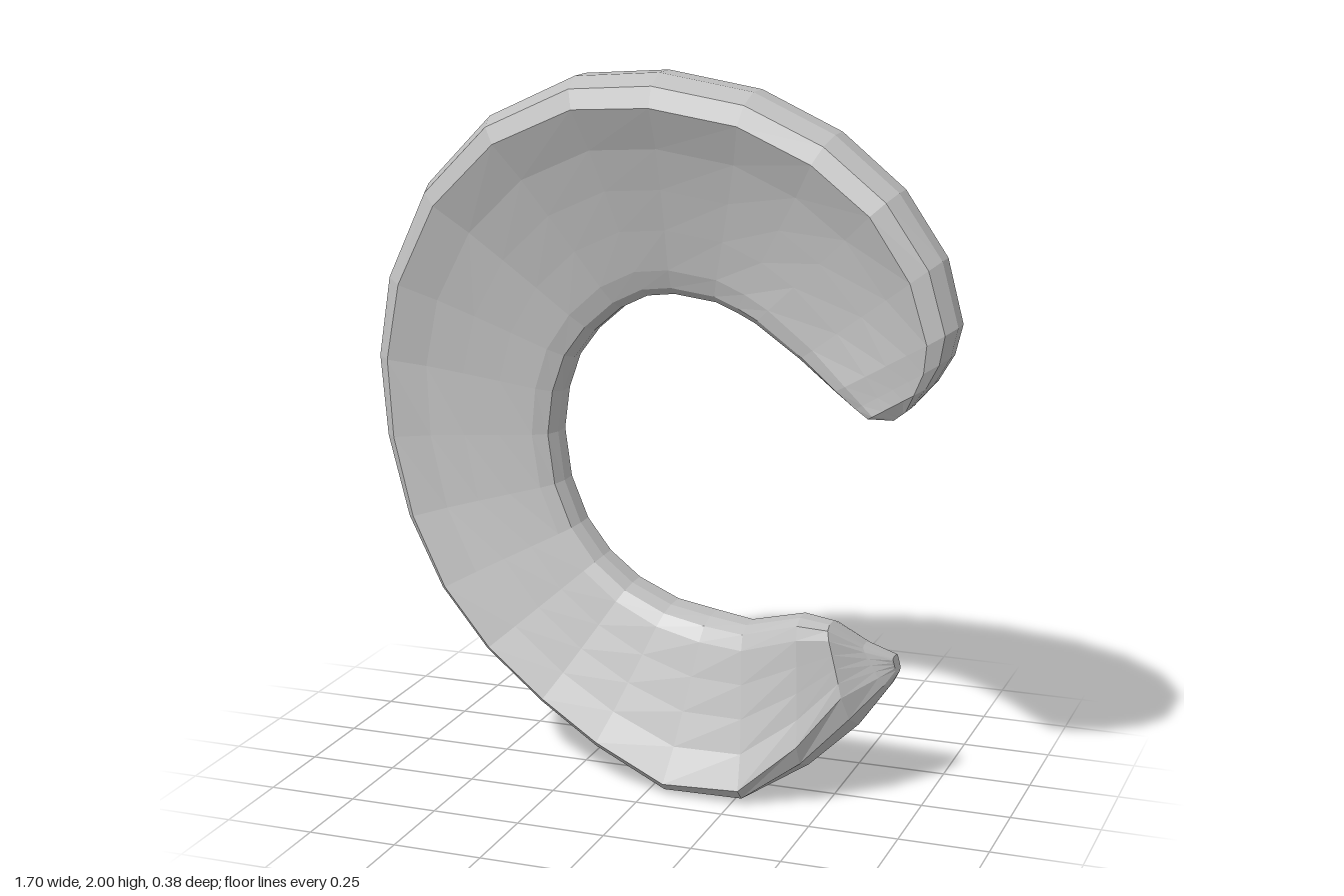
import * as THREE from 'three';

// Outline stations, upper horn to lower horn: outer x, y, inner x, y
const OUTLINE = [
  [0.73, 1.16, 0.68, 1.12], [0.79, 1.23, 0.61, 1.12], [0.83, 1.3, 0.57, 1.14],
  [0.848, 1.38, 0.51, 1.18], [0.8, 1.55, 0.4, 1.25], [0.68, 1.72, 0.26, 1.33],
  [0.5, 1.86, 0.2, 1.35], [0.27, 1.96, 0.13, 1.37], [0, 2, 0, 1.38],
  [-0.25, 1.98, -0.08, 1.37], [-0.51, 1.86, -0.16, 1.33], [-0.71, 1.66, -0.24, 1.26],
  [-0.82, 1.41, -0.3, 1.18], [-0.85, 1.18, -0.335, 1.08], [-0.82, 0.95, -0.35, 0.96],
  [-0.75, 0.72, -0.33, 0.82], [-0.64, 0.52, -0.28, 0.7], [-0.5, 0.35, -0.21, 0.61],
  [-0.33, 0.21, -0.12, 0.54], [-0.16, 0.1, 0, 0.49], [0.05, 0, 0.12, 0.472],
  [0.28, 0, 0.24, 0.47], [0.44, 0.1, 0.41, 0.525], [0.57, 0.22, 0.49, 0.51],
  [0.64, 0.32, 0.57, 0.44], [0.655, 0.35, 0.645, 0.4],
];

// Depth keys: station, rim front z, rim back z, inner front z, inner back z,
// front bevel, back bevel
const DEPTH = [
  [0, 0.15, 0.08, 0.14, 0.07, 0.25, 0.25], [1, 0.175, 0.04, 0.16, 0.045, 0.25, 0.25],
  [3, 0.19, 0.005, 0.14, 0.015, 0.2, 0.2], [5, 0.19, -0.035, 0.05, -0.05, 0.14, 0.15],
  [8, 0.145, -0.115, -0.025, -0.13, 0.14, 0.12], [11, 0.1, -0.195, -0.025, -0.14, 0.12, 0.1],
  [13, 0.115, -0.19, -0.015, -0.15, 0.1, 0.1], [16, 0.165, -0.165, 0, -0.15, 0.08, 0.12],
  [18, 0.17, -0.155, 0.01, -0.15, 0.08, 0.2], [20, 0.19, -0.14, 0.03, -0.14, 0.08, 0.35],
  [21, 0.19, -0.15, 0.06, -0.09, 0.1, 0.35], [22, 0.16, -0.165, 0.1, -0.03, 0.2, 0.3],
  [23, 0.1, -0.165, 0.08, -0.03, 0.35, 0.25], [24, 0, -0.145, 0, -0.07, 0.3, 0.25],
  [25, -0.06, -0.11, -0.05, -0.1, 0.25, 0.25],
];

const SIDES = 17;
const lerp = THREE.MathUtils.lerp;

function depthAt(i) {
  const k = Math.max(1, DEPTH.findIndex((d) => d[0] >= i));
  const a = DEPTH[k - 1], b = DEPTH[k];
  return a.map((v, n) => lerp(v, b[n], (i - a[0]) / (b[0] - a[0])));
}

// Wedge section: u runs rim to inner edge, w runs back to front
function section(front, back) {
  return [
    ...[0, 0.25, 0.5, 0.75, 1].map((t) => [lerp(front, 0.88, t), 1]),
    [0.965, 0.92], [1, 0.68], [1, 0.3], [0.95, 0.06],
    [0.8, 0], [0.6, 0], [back + 0.1, 0],
    [back, 0.02], [back / 3, 0.14], [0, 0.38], [0, 0.68], [front * 0.35, 0.92],
  ];
}

function wedgeGeometry() {
  const positions = [], index = [];
  const rings = OUTLINE.length;
  OUTLINE.forEach(([ox, oy, ix, iy], i) => {
    const [, rimFront, rimBack, innerFront, innerBack, front, back] = depthAt(i);
    for (const [u, w] of section(front, back)) {
      // Dished front face, slightly bulging back face
      const dish = Math.pow(Math.max(0, (u - front) / (1 - front)), 0.72);
      const zFront = lerp(rimFront, innerFront, dish);
      const zBack = lerp(rimBack, innerBack, Math.pow(u, 1.3));
      positions.push(lerp(ox, ix, u), lerp(oy, iy, u), lerp(zBack, zFront, w));
    }
  });
  for (let i = 0; i < rings - 1; i++) {
    for (let j = 0; j < SIDES; j++) {
      const a = i * SIDES + j, b = i * SIDES + ((j + 1) % SIDES);
      index.push(a, a + SIDES, b + SIDES, a, b + SIDES, b);
    }
  }
  // Close both horn tips with fans
  for (const ring of [0, rings - 1]) {
    const centre = new THREE.Vector3();
    const start = ring * SIDES;
    for (let j = 0; j < SIDES; j++) {
      centre.add(new THREE.Vector3().fromArray(positions, (start + j) * 3));
    }
    centre.divideScalar(SIDES);
    const c = positions.length / 3;
    positions.push(...centre.toArray());
    for (let j = 0; j < SIDES; j++) {
      const p = start + j, q = start + ((j + 1) % SIDES);
      index.push(c, ring ? q : p, ring ? p : q);
    }
  }
  const geometry = new THREE.BufferGeometry();
  geometry.setAttribute('position', new THREE.Float32BufferAttribute(positions, 3));
  geometry.setIndex(index);
  geometry.computeVertexNormals();
  return geometry;
}

export function createModel() {
  const group = new THREE.Group();
  group.name = 'crescentCartilage';
  const grey = new THREE.MeshStandardMaterial({ color: 0xbfbfbf, flatShading: true });
  grey.name = 'lightGrey';

  const body = new THREE.Mesh(wedgeGeometry(), grey);
  body.name = 'crescentWedge';
  group.add(body);
  return group;
}
